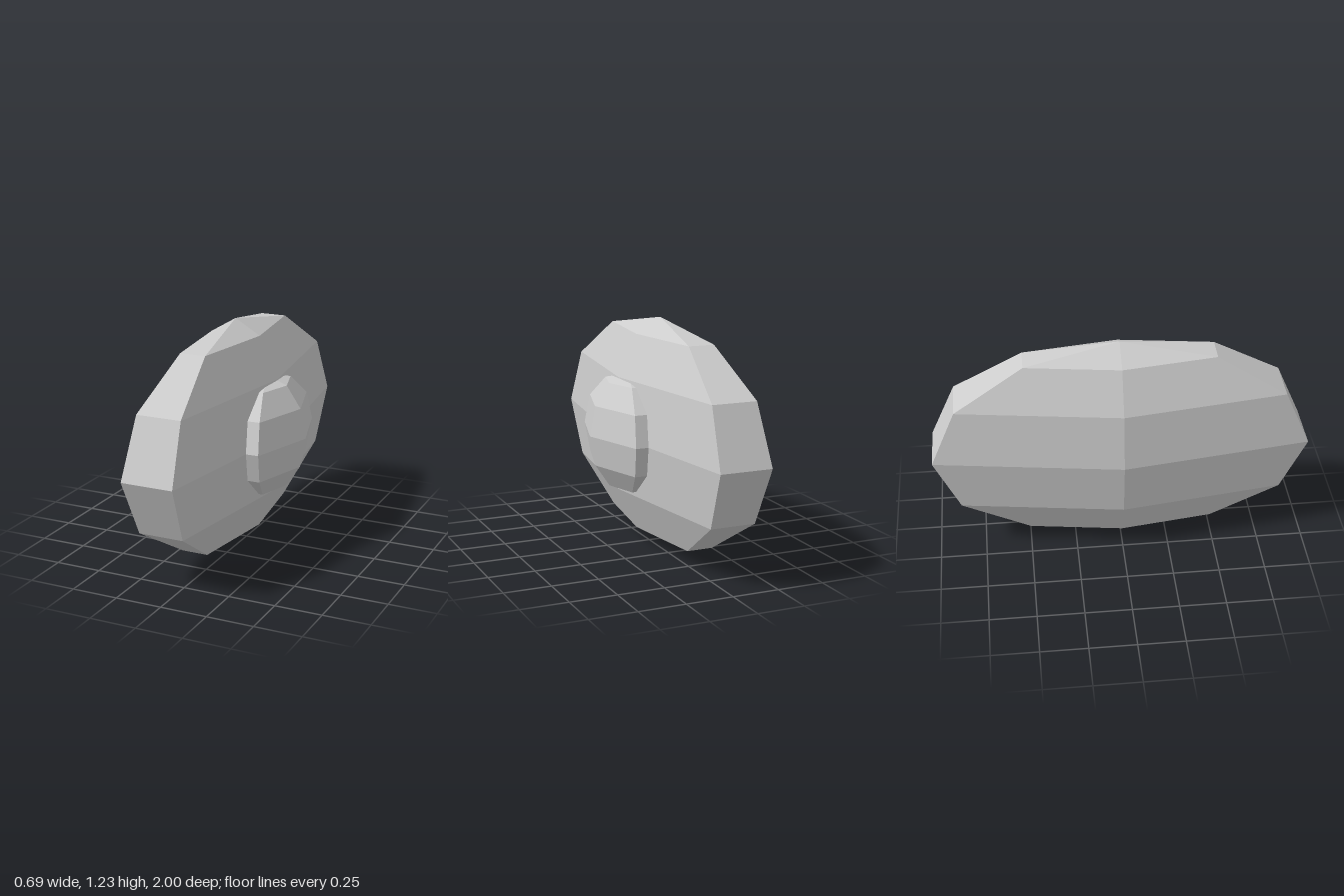
import * as THREE from 'three';

const HALF_HEIGHT = 0.616;

// Faceted ellipsoid: six sides around the upright axis, six bands from pole to pole.
function facetedEllipsoid(name, x, y, rx, ry, rz) {
  const geometry = new THREE.SphereGeometry(1, 6, 6);
  geometry.scale(rx, ry, rz);
  const material = new THREE.MeshStandardMaterial({ color: 0xcccccc, flatShading: true });
  const mesh = new THREE.Mesh(geometry, material);
  mesh.name = name;
  mesh.position.set(x, y, 0);
  return mesh;
}

export function createModel() {
  const model = new THREE.Group();
  model.name = 'facetedPebble';

  // Long flattened body; the hexagon's flat sides reach z = -1 and z = 1
  const halfLength = 1 / Math.sin(Math.PI / 3);
  model.add(facetedEllipsoid('body', -0.064, HALF_HEIGHT, 0.28, HALF_HEIGHT, halfLength));

  // Smaller boss half sunk into the left face
  model.add(facetedEllipsoid('sideBoss', 0.124, HALF_HEIGHT, 0.22, 0.324, 0.42));

  return model;
}
